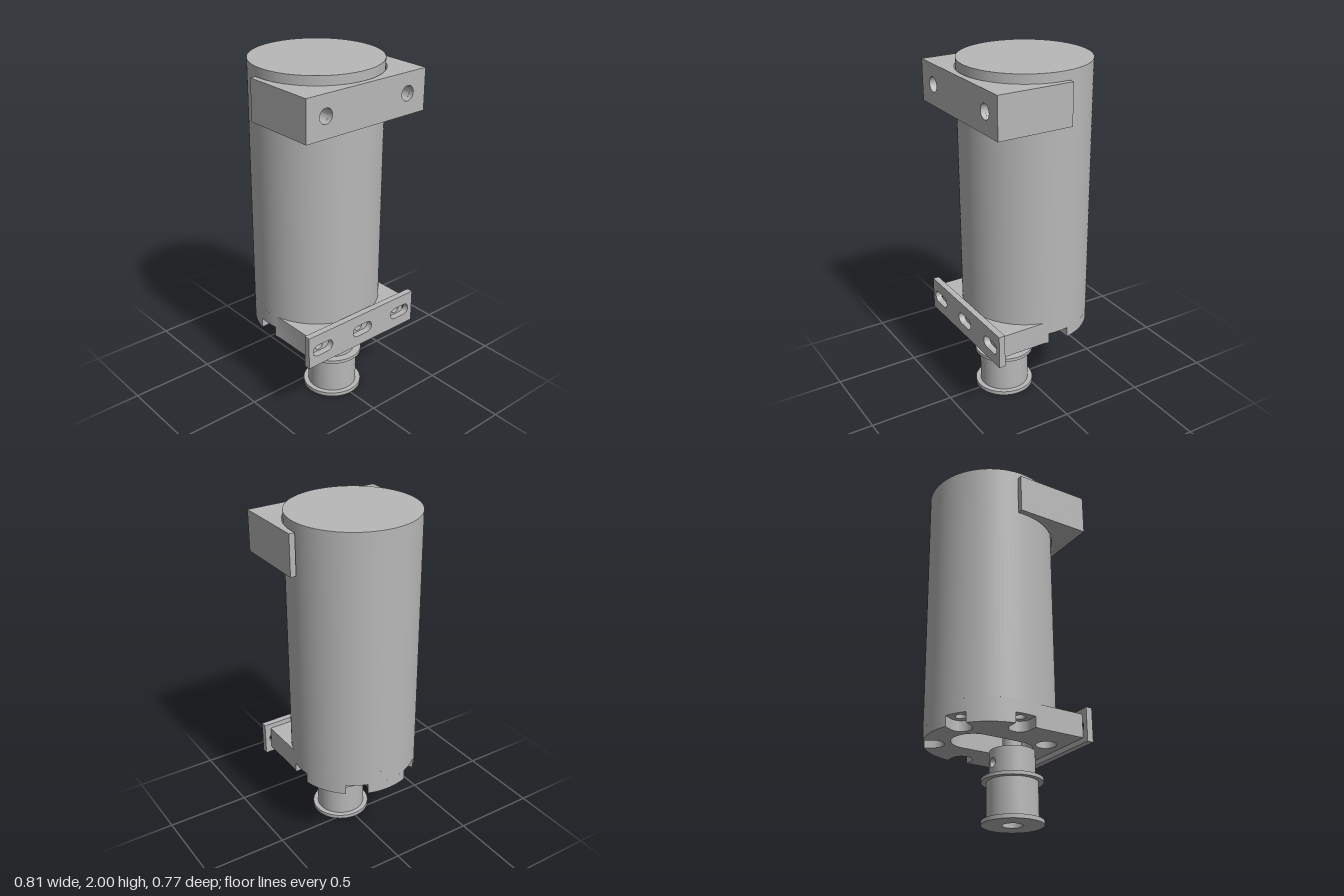
import * as THREE from 'three';
import { toCreasedNormals } from 'three/addons/utils/BufferGeometryUtils.js';

const R = 0.368, CZ = -0.02;           // motor radius and axis offset
const SHAFT_Z = 0.125;                 // output shaft axis
const BOLT_R = 0.31, BORE = 0.062;     // bolt circle and counterbore radius

export function createModel() {
  const group = new THREE.Group();
  const grey = new THREE.MeshStandardMaterial({ color: 0xb8b8b8 });
  grey.name = 'grey metal';

  const add = (name, geo, x = 0, y = 0, z = 0, parent = group) => {
    const m = new THREE.Mesh(geo, grey);
    m.name = name;
    m.position.set(x, y, z);
    parent.add(m);
    return m;
  };
  const extrude = (shape, depth) => toCreasedNormals(
    new THREE.ExtrudeGeometry(shape, { depth, bevelEnabled: false, curveSegments: 24 }), 0.5);
  // horizontal slab: shape drawn in x/z, filling yBottom..yTop
  const slab = (name, shape, yBottom, yTop) =>
    add(name, extrude(shape, yTop - yBottom).rotateX(Math.PI / 2), 0, yTop, 0);
  const polygon = (pts) => new THREE.Shape(pts.map(([x, y]) => new THREE.Vector2(x, y)));
  const rect = (x, y0, y1) => polygon([[-x, y0], [x, y0], [x, y1], [-x, y1]]);
  const circle = (x, y, r) => new THREE.Path().absarc(x, y, r, 0, Math.PI * 2, true);
  const slotX = (x, y, half, r) => {
    const p = new THREE.Path();
    p.absarc(x + half, y, r, -Math.PI / 2, Math.PI / 2, false);
    p.absarc(x - half, y, r, Math.PI / 2, Math.PI * 1.5, false);
    p.closePath();
    return p;
  };

  // Motor can
  add('motorBody', new THREE.CylinderGeometry(R, R, 1.435, 96), 0, 0.565 + 1.435 / 2, CZ);

  // Lower mount: round plate blended into a block, with counterbored bolts
  const mountShape = (notched) => {
    const pts = [[0.357, 0.31], [-0.357, 0.31]];
    const start = Math.atan2(0.09, -0.357), end = 3 * Math.PI - start;
    const h = Math.asin(BORE / R);
    const arc = (a, b) => {
      const n = Math.max(3, Math.ceil((b - a) / 0.07));
      for (let i = 0; i <= n; i++) {
        const t = a + (b - a) * i / n;
        pts.push([R * Math.cos(t), CZ + R * Math.sin(t)]);
      }
    };
    let from = start;
    for (let k = 0; notched && k < 4; k++) {
      const a = Math.PI + k * Math.PI / 3, c = Math.cos(a), s = Math.sin(a);
      arc(from, a - h);
      for (let i = 0; i <= 16; i++) {
        const f = Math.PI * i / 16;
        const rad = BOLT_R - BORE * Math.sin(f), tan = -BORE * Math.cos(f);
        pts.push([rad * c - tan * s, CZ + rad * s + tan * c]);
      }
      from = a + h;
    }
    arc(from, end);
    const shape = polygon(pts);
    for (let k = 0; k < 6; k++) {
      const a = k * Math.PI / 3, front = k === 1 || k === 2;
      if (notched && !front) continue;
      shape.holes.push(circle(BOLT_R * Math.cos(a), CZ + BOLT_R * Math.sin(a), notched ? BORE - 0.004 : 0.03));
    }
    // long clearance slot for the shaft
    const slot = new THREE.Path();
    slot.absarc(0, 0.11, 0.125, 0, Math.PI, false);
    slot.absarc(0, -0.12, 0.125, Math.PI, Math.PI * 2, false);
    slot.closePath();
    shape.holes.push(slot);
    return shape;
  };
  slab('mountLowerLayer', mountShape(true), 0.43, 0.49);
  slab('mountUpperLayer', mountShape(false), 0.49, 0.565);

  // Tapped front of the block and the slotted plate on it
  const tapped = rect(0.357, 0.43, 0.565), plate = rect(0.395, 0.4, 0.595);
  for (const x of [-0.295, 0, 0.295]) {
    tapped.holes.push(circle(x, 0.495, 0.026));
    plate.holes.push(slotX(x, 0.495, 0.037, 0.034));
  }
  add('mountFront', extrude(tapped, 0.04), 0, 0, 0.31);
  add('slottedPlate', extrude(plate, 0.037), 0, 0, 0.35);

  // Upper saddle clamp, with two bolt bores from the front
  const saddle = (bored) => {
    const pts = [[-0.407, -0.055], [-0.407, 0.36]];
    for (const x of bored ? [-0.28, 0.28] : [])
      pts.push([x - 0.042, 0.36], [x - 0.042, 0.29], [x + 0.042, 0.29], [x + 0.042, 0.36]);
    pts.push([0.407, 0.36], [0.407, -0.055], [0.374, -0.055]);
    for (let i = 0; i <= 48; i++) {
      const t = Math.PI * i / 48;
      pts.push([0.374 * Math.cos(t), CZ + 0.374 * Math.sin(t)]);
    }
    pts.push([-0.374, -0.055]);
    return polygon(pts);
  };
  slab('saddleBottom', saddle(false), 1.715, 1.793);
  slab('saddleMiddle', saddle(true), 1.793, 1.877);
  slab('saddleTop', saddle(false), 1.877, 1.95);
  const face = rect(0.407, 1.715, 1.95);
  for (const x of [-0.28, 0.28]) {
    face.holes.push(circle(x, 1.835, 0.042));
    // lining: a ring that keeps the bore round
    const ring = new THREE.Shape().absarc(0, 0, 0.046, 0, Math.PI * 2, false);
    ring.holes.push(circle(0, 0, 0.0415));
    add('saddleBore', extrude(ring, 0.07), x, 1.835, 0.29);
  }
  add('saddleFace', extrude(face, 0.027), 0, 0, 0.36);

  // Output shaft
  add('shaft', new THREE.CylinderGeometry(0.053, 0.053, 0.4, 40), 0, 0.37, SHAFT_Z);

  // Flanged pulley with a central bore
  const pulley = new THREE.Group();
  pulley.name = 'pulley';
  pulley.position.z = SHAFT_Z;
  group.add(pulley);
  const profile = [[0.057, 0.25], [0.057, 0], [0.172, 0], [0.172, 0.023], [0.143, 0.023],
    [0.143, 0.235], [0.172, 0.235], [0.172, 0.255], [0.127, 0.255]];
  add('pulleyWheel', toCreasedNormals(new THREE.LatheGeometry(
    profile.map(([x, y]) => new THREE.Vector2(x, y)), 64), 0.5), 0, 0, 0, pulley);

  // Hub wall: plain arcs between two curved patches with set screw holes
  const HR = 0.128, Y0 = 0.3325, B = 0.0775, half = B / HR;
  const patch = () => {
    const N = 48, pos = [], idx = [], rows = 8;
    for (let j = 0; j <= rows; j++) {
      const k = Math.min(j / (rows - 1), 1);
      for (let i = 0; i <= N; i++) {
        const t = i / N * Math.PI * 2, c = Math.cos(t), s = Math.sin(t);
        const rad = THREE.MathUtils.lerp(B / Math.max(Math.abs(c), Math.abs(s)), 0.027, k);
        const a = rad * c / HR;
        pos.push(HR * Math.sin(a), Y0 + rad * s, j === rows ? 0.045 : HR * Math.cos(a));
        if (j < rows && i < N) {
          const o = j * (N + 1) + i, n = o + N + 1;
          idx.push(o, o + 1, n + 1, o, n + 1, n);
        }
      }
    }
    const g = new THREE.BufferGeometry();
    g.setAttribute('position', new THREE.Float32BufferAttribute(pos, 3));
    g.setIndex(idx);
    return toCreasedNormals(g, 0.6);
  };
  for (const a of [Math.PI / 2, Math.PI])
    add('hubScrewHole', patch(), 0, 0, 0, pulley).rotation.y = a;
  const hubArc = (from, length) => add('hubWall',
    new THREE.CylinderGeometry(HR, HR, 2 * B, 48, 1, true, from, length), 0, Y0, 0, pulley);
  hubArc(Math.PI / 2 + half, Math.PI / 2 - 2 * half);
  hubArc(Math.PI + half, Math.PI * 1.5 - 2 * half);
  add('hubTop', new THREE.RingGeometry(0.05, HR, 64).rotateX(-Math.PI / 2), 0, Y0 + B, 0, pulley);

  return group;
}
